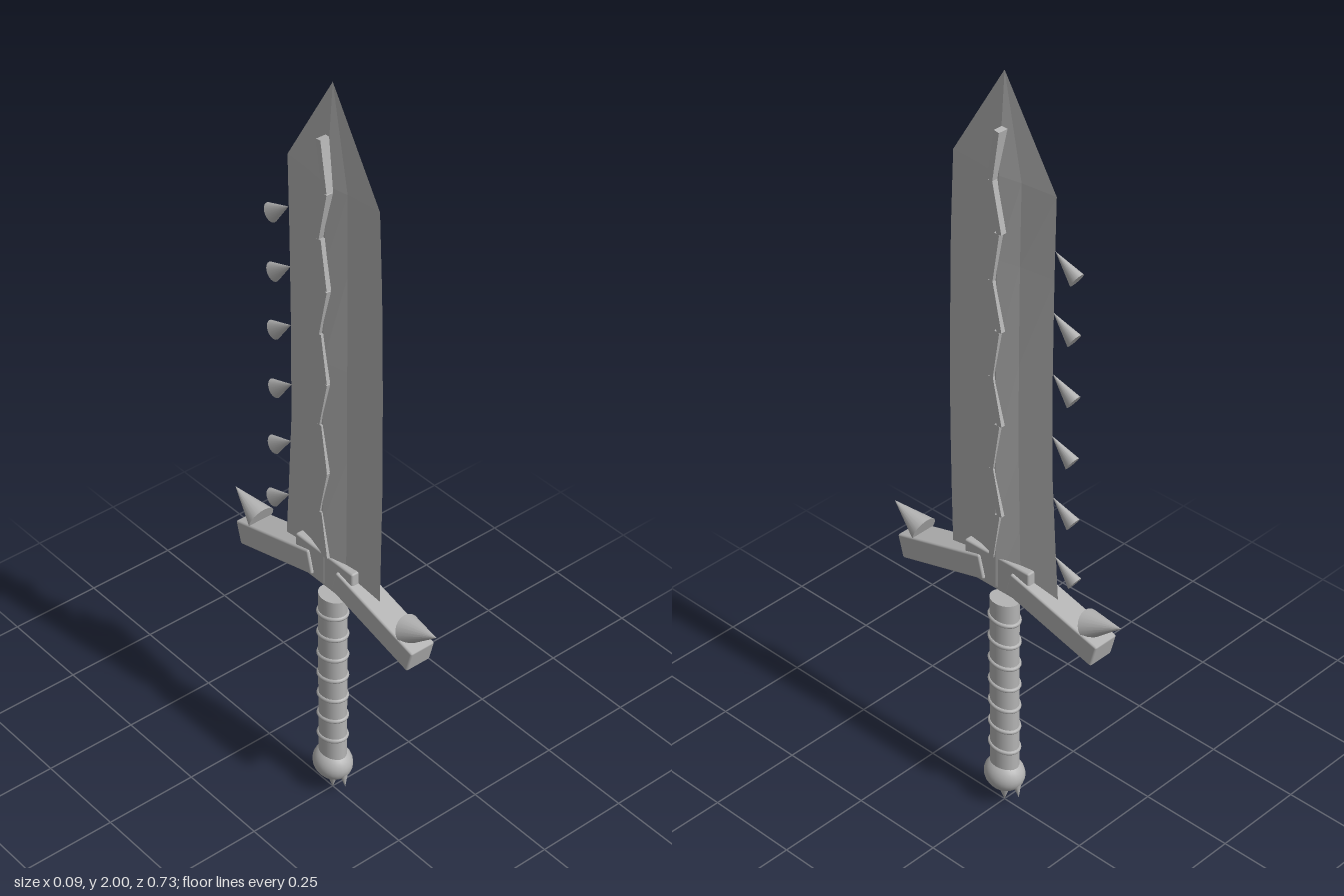
import * as THREE from 'three';
import { RoundedBoxGeometry } from 'three/addons/geometries/RoundedBoxGeometry.js';

const steel = new THREE.MeshStandardMaterial({ color: 0xb4b4b4 });
steel.name = 'grey steel';
const facetedSteel = steel; // flat facets come from unshared vertices

function add(parent, name, geometry, x = 0, y = 0, z = 0) {
  const mesh = new THREE.Mesh(geometry, steel);
  mesh.name = name;
  mesh.position.set(x, y, z);
  parent.add(mesh);
  return mesh;
}

// Cone in the yz plane, from base centre [y, z] to tip [y, z]
function spike(parent, name, base, tip, radius, squash = 1) {
  const a = new THREE.Vector3(0, ...base);
  const b = new THREE.Vector3(0, ...tip);
  const dir = b.clone().sub(a);
  const mesh = add(parent, name, new THREE.ConeGeometry(radius, dir.length(), 20));
  mesh.position.copy(a).add(b).multiplyScalar(0.5);
  mesh.quaternion.setFromUnitVectors(new THREE.Vector3(0, 1, 0), dir.normalize());
  mesh.scale.x = squash;
  return mesh;
}

// Hollow-ground diamond sections: [y, front edge z, back edge z, half thickness]
function bladeGeometry() {
  const sections = [
    [0.67, 0.168, -0.172, 0.03], [0.85, 0.171, -0.16, 0.03], [1.05, 0.173, -0.148, 0.029],
    [1.3, 0.17, -0.146, 0.028], [1.55, 0.164, -0.148, 0.024], [1.755, 0.154, -0.152, 0.018],
    [2, 0, 0, 0],
  ];
  const rings = sections.map(([y, f, b, t]) => [
    [0, f], [t * 0.45, f * 0.38], [t, 0], [t * 0.45, b * 0.38],
    [0, b], [-t * 0.45, b * 0.38], [-t, 0], [-t * 0.45, f * 0.38],
  ].map(([x, z]) => [x, y, z]));
  const points = [];
  const n = rings[0].length;
  for (let i = 0; i < n; i++) {
    const j = (i + 1) % n;
    points.push([0, sections[0][0], 0], rings[0][j], rings[0][i]);
    for (let k = 0; k < rings.length - 1; k++) {
      const low = rings[k], high = rings[k + 1];
      points.push(low[i], low[j], high[j]);
      if (k < rings.length - 2) points.push(low[i], high[j], high[i]);
    }
  }
  const geometry = new THREE.BufferGeometry();
  geometry.setAttribute('position', new THREE.Float32BufferAttribute(points.flat(), 3));
  geometry.computeVertexNormals();
  return geometry;
}

export function createModel() {
  const sword = new THREE.Group();
  sword.name = 'sword';

  add(sword, 'blade', bladeGeometry());

  // Zigzag rib running through the middle of the blade
  const rib = new THREE.Group();
  rib.name = 'zigzagRib';
  sword.add(rib);
  const steps = 9;
  for (let i = 0; i < steps; i++) {
    const y1 = 1.87 - i * 0.124, y0 = y1 - 0.124;
    const z1 = i % 2 ? 0.012 : -0.008, z0 = i % 2 ? -0.015 : 0.012;
    const length = Math.hypot(y1 - y0, z1 - z0);
    const bar = add(rib, 'ribSegment', new THREE.BoxGeometry(0.067, length, 0.015),
      0, (y0 + y1) / 2, (z0 + z1) / 2);
    bar.rotation.x = Math.atan2(z1 - z0, y1 - y0);
  }

  // Flared teeth along the back edge, narrow end on the blade
  const roots = [[1.622, -0.15], [1.468, -0.145], [1.31, -0.146], [1.147, -0.145], [0.983, -0.15], [0.822, -0.158]];
  for (const [y, z] of roots) {
    spike(sword, 'backTooth', [y - 0.046, z - 0.063], [y, z], 0.024, 0.65);
  }

  // Guard: centre block and two drooping arms, each with a spike
  add(sword, 'guardBlock', new RoundedBoxGeometry(0.057, 0.095, 0.206, 1, 0.005), 0, 0.7075, 0);
  for (const s of [1, -1]) {
    const arm = add(sword, s > 0 ? 'frontGuardArm' : 'backGuardArm',
      new RoundedBoxGeometry(0.071, 0.064, 0.28, 1, 0.005), 0, 0.668, s * 0.178);
    arm.rotation.x = s * 0.262;
    spike(sword, 'guardSpike', [0.685, s * 0.267], [0.723, s * 0.365], 0.036);
  }

  // Oval grip with slightly tilted wrap rings
  const grip = new THREE.Group();
  grip.name = 'grip';
  sword.add(grip);
  add(grip, 'gripCore', new THREE.CylinderGeometry(0.04, 0.04, 0.5, 24), 0, 0.37, 0).scale.x = 0.78;
  for (let i = 0; i < 7; i++) {
    const ring = add(grip, 'wrapRing', new THREE.TorusGeometry(0.039, 0.006, 8, 28), 0, 0.566 - i * 0.0645, 0);
    ring.rotation.x = Math.PI / 2 - 0.12;
    ring.scale.x = 0.8;
  }

  // Pommel with three small spikes underneath
  add(sword, 'pommel', new THREE.SphereGeometry(0.047, 24, 16), 0, 0.088, 0).scale.z = 1.17;
  spike(sword, 'pommelSpike', [0.05, 0], [0, 0], 0.018);
  for (const s of [1, -1]) {
    spike(sword, 'pommelSideSpike', [0.078, s * 0.04], [0.033, s * 0.048], 0.013);
  }
  return sword;
}
